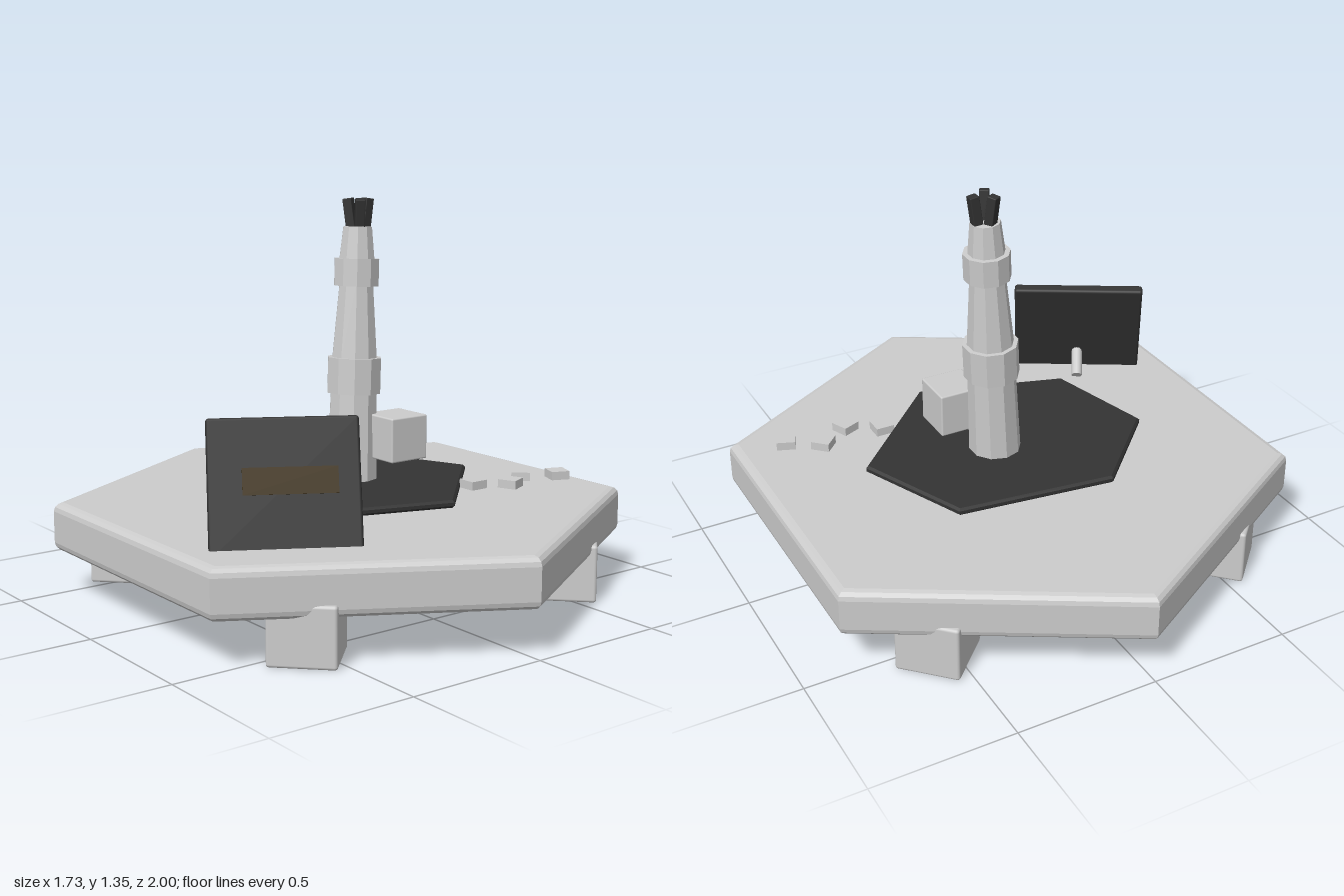
import * as THREE from 'three';
import { RoundedBoxGeometry } from 'three/addons/geometries/RoundedBoxGeometry.js';

const mat = (name, color) => Object.assign(new THREE.MeshStandardMaterial({ color }), { name });

export function createModel() {
  const model = new THREE.Group();
  model.name = 'armStation';
  const shell = mat('light grey', 0xcccccc);
  const dark = mat('charcoal', 0x333333);
  const amber = mat('dark amber', 0x3d2e0c);
  const arm = shell.clone();
  arm.name = 'light grey faceted';
  arm.flatShading = true;

  const add = (name, geometry, material, position = [0, 0, 0], parent = model) => {
    const mesh = new THREE.Mesh(geometry, material);
    mesh.name = name;
    mesh.position.set(...position);
    parent.add(mesh);
    return mesh;
  };
  const box = (w, h, d, r) => new RoundedBoxGeometry(w, h, d, 2, r);

  // Horizontal slab from an outline of [x, z] points, with rounded rims
  const slab = (points, y0, y1, bevel, segments) => {
    const shape = new THREE.Shape(points.map(([x, z]) => new THREE.Vector2(x, -z)));
    const g = new THREE.ExtrudeGeometry(shape, {
      depth: y1 - y0 - 2 * bevel, bevelThickness: bevel, bevelSize: bevel,
      bevelOffset: -bevel, bevelSegments: segments,
    });
    return g.rotateX(-Math.PI / 2).translate(0, y0 + bevel, 0);
  };

  // Cylinder running between two points
  const rod = (name, a, b, ra, rb, sides, material) => {
    const from = new THREE.Vector3(...a), to = new THREE.Vector3(...b);
    const dir = to.clone().sub(from);
    const mesh = add(name, new THREE.CylinderGeometry(rb, ra, dir.length(), sides), material,
      from.clone().add(to).multiplyScalar(0.5).toArray());
    mesh.quaternion.setFromUnitVectors(new THREE.Vector3(0, 1, 0), dir.normalize());
    return mesh;
  };

  // Hexagonal base and four feet
  const hex = [];
  for (let i = 0; i < 6; i++) {
    const a = i * Math.PI / 3;
    hex.push([Math.sin(a), Math.cos(a)]);
  }
  add('base', slab(hex, 0.155, 0.325, 0.03, 3), shell);
  for (const x of [-0.55, 0.55]) for (const z of [-0.55, 0.55]) {
    add('foot', box(0.22, 0.2, 0.22, 0.01), shell, [x, 0.1, z]).rotation.y = Math.PI / 4;
  }

  // Irregular dark work mat
  const matOutline = [[-0.2, -0.4], [-0.49, -0.11], [-0.39, 0.285], [0.13, 0.45], [0.52, 0.06], [0.355, -0.33]];
  add('workMat', slab(matOutline, 0.346, 0.373, 0.008, 1), dark);

  // Leaning arm: tapered segments and collars stacked along one axis
  const axis = (y) => [0.062 + 0.052 * (y - 0.33), y, -0.029 - 0.03 * (y - 0.33)];
  const segments = [
    ['lowerArm', 0.155, 0.69, 0.097, 0.084], ['elbowCollar', 0.675, 0.8, 0.097, 0.097],
    ['upperArm', 0.79, 1.06, 0.082, 0.061], ['wristCollar', 1.05, 1.145, 0.081, 0.081],
    ['wrist', 1.14, 1.255, 0.064, 0.052],
  ];
  for (const [name, y0, y1, r0, r1] of segments) rod(name, axis(y0), axis(y1), r0, r1, 10, arm);

  // Gripper fingers splaying from the wrist
  const [gx, , gz] = axis(1.3);
  for (let i = 0; i < 3; i++) {
    const turn = new THREE.Group();
    turn.name = 'gripperFinger';
    turn.position.set(gx + 0.003, 1.29, gz);
    turn.rotation.y = i * Math.PI * 2 / 3;
    add('finger', box(0.033, 0.125, 0.033, 0.003), dark, [0.031, 0, 0], turn).rotation.z = -0.14;
    model.add(turn);
  }

  // Held block and the row of loose chips
  add('block', box(0.157, 0.157, 0.157, 0.006), shell, [0.177, 0.527, 0.077]);
  for (let i = 0; i < 4; i++) {
    add('chip', new THREE.BoxGeometry(0.067, 0.03, 0.067), shell,
      [0.358 + i * 0.114, 0.367, i % 2 ? 0.355 : 0.287]).rotation.y = i * 0.4;
  }

  // Tilted screen with its display, pivoting at the lower front edge
  const screen = new THREE.Group();
  screen.name = 'screen';
  screen.position.set(-0.559, 0.325, 0.459);
  screen.rotation.set(-0.315, -Math.PI / 6, 0, 'YXZ');
  add('screenPanel', box(0.48, 0.44, 0.04, 0.01), dark, [0, 0.19, -0.02], screen);
  add('display', new THREE.BoxGeometry(0.3, 0.085, 0.008), amber, [0.018, 0.21, 0.001], screen);
  model.add(screen);
  rod('screenStrut', [-0.536, 0.41, 0.418], [-0.486, 0.335, 0.331], 0.02, 0.02, 12, shell);

  return model;
}
